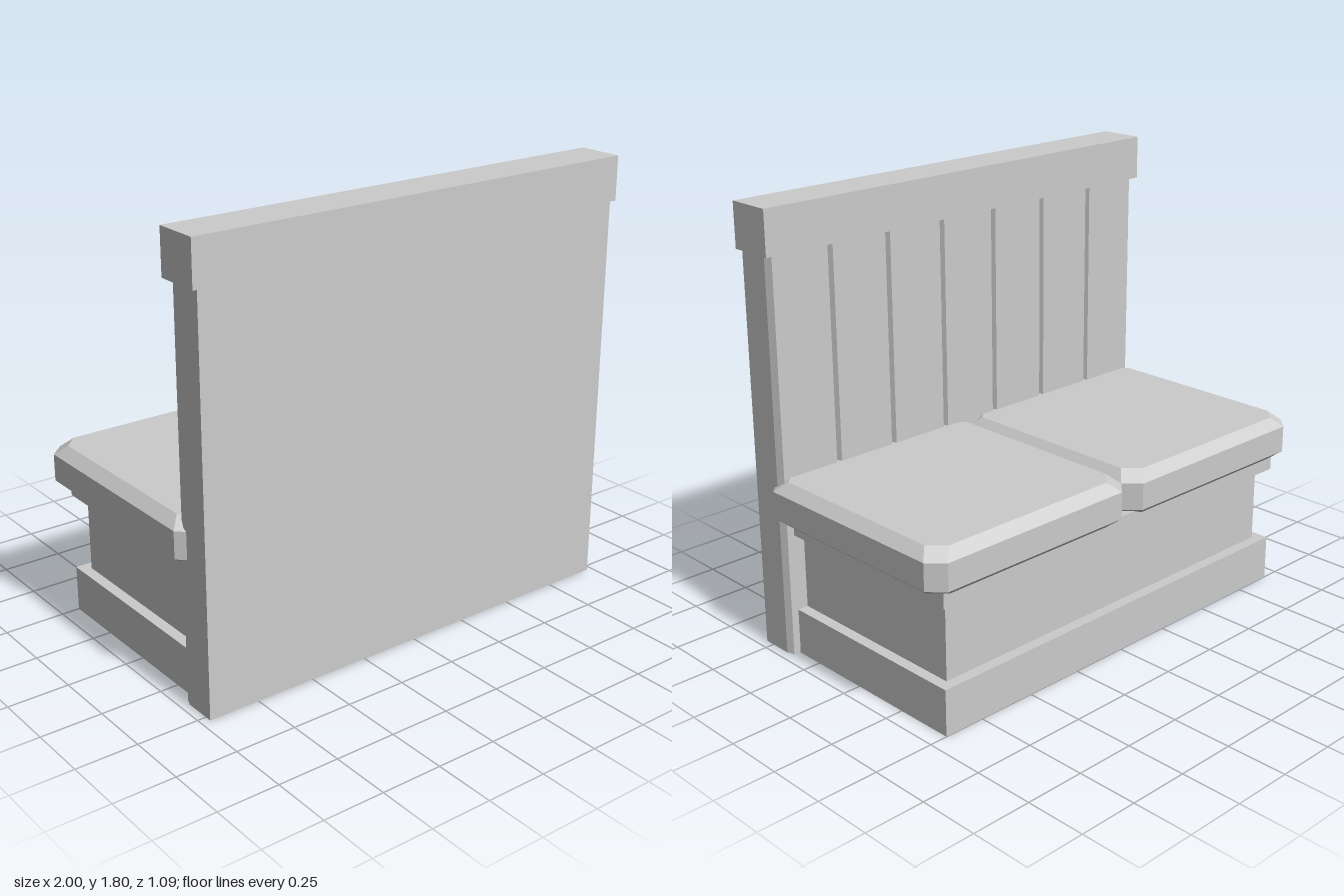
import * as THREE from 'three';
import { ConvexGeometry } from 'three/addons/geometries/ConvexGeometry.js';

const material = new THREE.MeshStandardMaterial({ color: 0xcccccc, flatShading: true });

function addMesh(group, name, geometry) {
  const mesh = new THREE.Mesh(geometry, material);
  mesh.name = name;
  group.add(mesh);
  return mesh;
}

// Box given by its lower and upper limits on each axis
function addBox(group, name, [x0, x1], [y0, y1], [z0, z1]) {
  const mesh = addMesh(group, name, new THREE.BoxGeometry(x1 - x0, y1 - y0, z1 - z0));
  mesh.position.set((x0 + x1) / 2, (y0 + y1) / 2, (z0 + z1) / 2);
}

// Rectangle with cut corners at one height, inset from the cushion's outline
function cushionRing(x0, x1, z0, z1, y, inset, cut = 0.06) {
  const points = [];
  const cx = (x0 + x1) / 2, cz = (z0 + z1) / 2;
  const hx = (x1 - x0) / 2 - inset, hz = (z1 - z0) / 2 - inset;
  for (const sx of [-1, 1]) {
    for (const sz of [-1, 1]) {
      points.push(new THREE.Vector3(cx + sx * hx, y, cz + sz * (hz - cut)));
      points.push(new THREE.Vector3(cx + sx * (hx - cut), y, cz + sz * hz));
    }
  }
  return points;
}

export function createModel() {
  const bench = new THREE.Group();
  bench.name = 'boothBench';

  // Stepped seat base: plinth, recessed middle, rail under the cushions
  addBox(bench, 'plinth', [-0.925, 0.925], [0, 0.19], [-0.5, 0.41]);
  addBox(bench, 'basePanel', [-0.88, 0.88], [0.19, 0.51], [-0.455, 0.41]);
  addBox(bench, 'seatRail', [-0.925, 0.925], [0.51, 0.58], [-0.5, 0.41]);

  // Backrest board and cap
  addBox(bench, 'backBoard', [-0.968, 0.968], [0.005, 1.63], [0.4, 0.535]);
  addBox(bench, 'topCap', [-0.99, 0.99], [1.625, 1.805], [0.355, 0.543]);

  // Seven planks with bevelled edges, forming V grooves
  const count = 7, width = 1.936 / count, bevel = 0.012;
  const profile = new THREE.Shape([
    new THREE.Vector2(-width / 2, -0.405),
    new THREE.Vector2(width / 2, -0.405),
    new THREE.Vector2(width / 2, -0.4),
    new THREE.Vector2(width / 2 - bevel, -0.37),
    new THREE.Vector2(-width / 2 + bevel, -0.37),
    new THREE.Vector2(-width / 2, -0.4),
  ]);
  const plankGeometry = new THREE.ExtrudeGeometry(profile, { depth: 1.62, bevelEnabled: false });
  plankGeometry.rotateX(-Math.PI / 2);
  for (let i = 0; i < count; i++) {
    const plank = addMesh(bench, 'backPlank', plankGeometry);
    plank.position.set((i - (count - 1) / 2) * width, 0.005, 0);
  }

  // Two cushions with chamfered edges and corners
  for (const [name, x0, x1] of [['rightCushion', -1, 0], ['leftCushion', 0, 1]]) {
    const rings = [[0.565, 0.042], [0.6, 0], [0.71, 0], [0.75, 0.042]];
    const points = rings.flatMap(([y, inset]) => cushionRing(x0, x1, -0.545, 0.445, y, inset));
    addMesh(bench, name, new ConvexGeometry(points));
  }

  return bench;
}
